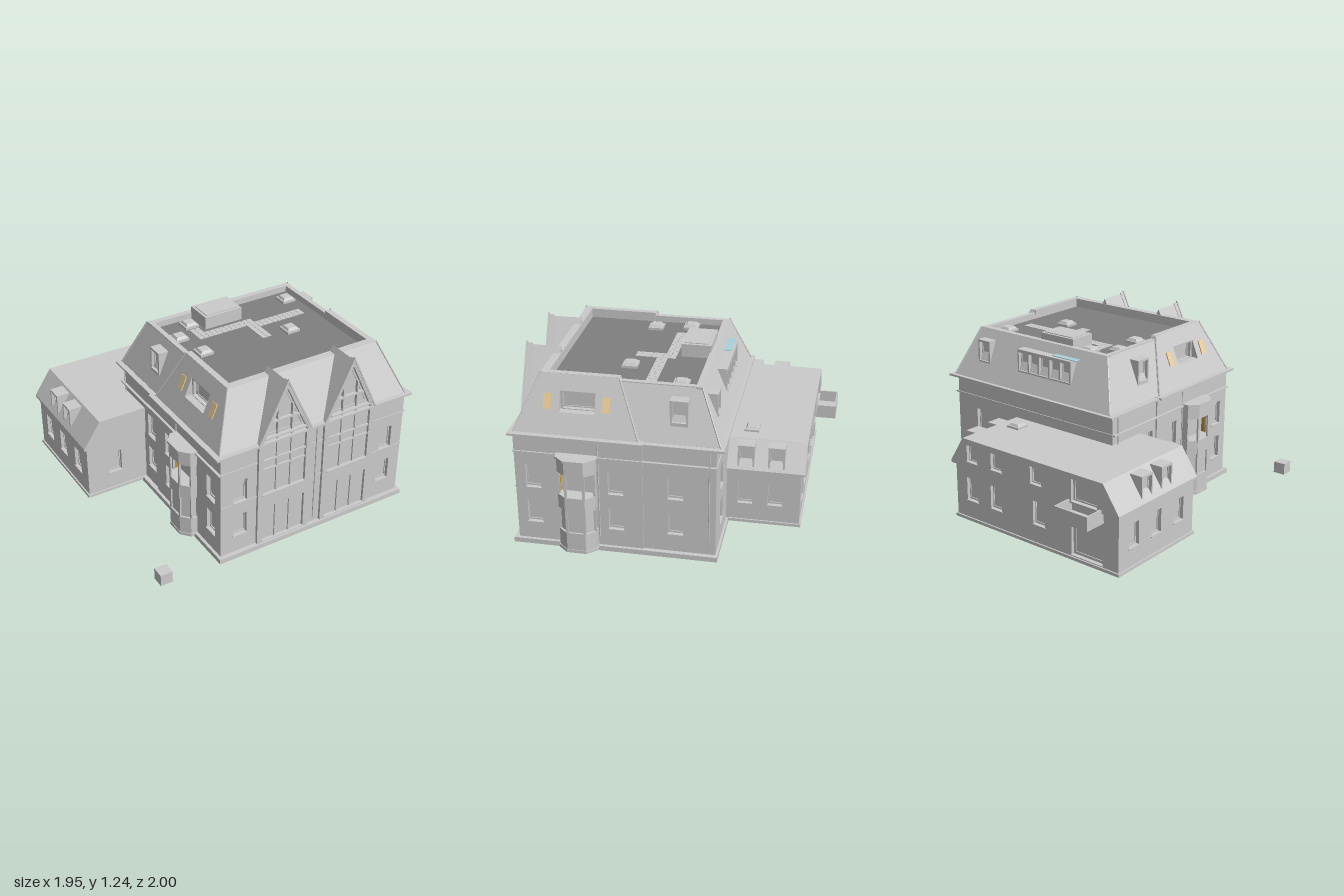
import * as THREE from 'three';

const mat = (color) => new THREE.MeshStandardMaterial({ color, flatShading: true, side: THREE.DoubleSide });
const GREY = mat(0xcccccc), DARK = mat(0x808080), AMBER = mat(0xeccf9a), GOLD = mat(0xc89628), BLUE = mat(0xa9d3de);
const CX = 0.185; // centre line of the main house

function add(parent, name, geo, m = GREY) {
  const mesh = new THREE.Mesh(geo, m);
  mesh.name = name;
  parent.add(mesh);
  return mesh;
}
// box given by its min and max on each axis
function box(parent, name, x0, x1, y0, y1, z0, z1, m) {
  const g = new THREE.BoxGeometry(x1 - x0, y1 - y0, z1 - z0);
  return add(parent, name, g.translate((x0 + x1) / 2, (y0 + y1) / 2, (z0 + z1) / 2), m);
}
// loose flat quads, four corners each
function quads(parent, name, list) {
  const pos = [];
  for (const [a, b, c, d] of list) pos.push(...a, ...b, ...c, ...a, ...c, ...d);
  const g = new THREE.BufferGeometry();
  g.setAttribute('position', new THREE.Float32BufferAttribute(pos, 3));
  g.computeVertexNormals();
  return add(parent, name, g);
}
const vec = (pts) => pts.map(([x, y]) => new THREE.Vector2(x, y));
const shapeOf = (pts) => new THREE.Shape(vec(pts));
const rect = (u0, u1, y0, y1) => [[u0, y0], [u1, y0], [u1, y1], [u0, y1]];
const extrude = (shape, depth) => new THREE.ExtrudeGeometry(shape, { depth, bevelEnabled: false });

// turn, sign of u against the local x axis, axis the wall faces along
const SIDES = { front: [0, 1, 'z'], right: [Math.PI / 2, -1, 'x'], back: [Math.PI, -1, 'z'], left: [-Math.PI / 2, 1, 'x'] };
// wall with window openings, panes, frames and sills; window = [u, y, width, height, top taper]
function facade(parent, name, side, plane, outline, wins, depth = 0.035) {
  const [turn, s, axis] = SIDES[side];
  const g = new THREE.Group();
  g.name = name;
  const shape = shapeOf(outline.map(([u, y]) => [u * s, y]));
  for (const [u, y, w, h, t = 1] of wins) {
    const c = u * s, a = w / 2;
    const pts = [[c - a, y], [c + a, y], [c + a * t, y + h], [c - a * t, y + h]];
    shape.holes.push(new THREE.Path(vec(pts)));
    add(g, 'windowPane', new THREE.ShapeGeometry(shapeOf(pts)).translate(0, 0, -0.028));
    const frame = shapeOf(pts), k = 0.86, cy = y + h * (t < 1 ? 0.38 : 0.5);
    frame.holes.push(new THREE.Path(vec(pts.map(([px, py]) => [c + (px - c) * k, cy + (py - cy) * k]))));
    add(g, 'windowFrame', extrude(frame, 0.006).translate(0, 0, -0.028));
    box(g, 'sill', c - a - 0.004, c + a + 0.004, y - 0.006, y, -0.01, 0.006);
  }
  add(g, 'wall', extrude(shape, depth).translate(0, 0, -depth));
  g.rotation.y = turn;
  g.position[axis] = plane;
  parent.add(g);
}

function mainWalls(p) {
  const rows = (us) => us.flatMap((u) => [[u, 0.2, 0.095, 0.155], [u, 0.45, 0.095, 0.16]]);
  facade(p, 'frontWall', 'front', 0.885, rect(-0.5, 0.87, 0.06, 0.83), rows([-0.36, 0.74]));
  for (const s of [1, -1]) {
    const side = s > 0 ? 'right' : 'left';
    facade(p, side + 'FrontWall', side, CX + s * 0.685, rect(0.08, 0.885, 0.06, 0.83), rows([0.77, 0.25]));
    facade(p, side + 'RearWall', side, CX + s * 0.675, rect(-0.37, 0.1, 0.06, 0.83), s > 0 ? rows([-0.12]) : rows([0.0]));
    const x = CX + s * 0.69;
    box(p, 'stringCourse', x - 0.012, x + 0.005, 0.692, 0.701, -0.375, 0.89);
    for (const z of [-0.33, 0.355])
      add(p, 'downpipe', new THREE.CylinderGeometry(0.004, 0.004, 0.7, 8).translate(x, 0.47, z));
  }
  facade(p, 'backWall', 'back', -0.37, rect(-0.49, 0.86, 0.06, 0.83), rows([0.64]));
  box(p, 'backStringCourse', -0.495, 0.865, 0.692, 0.701, -0.376, -0.36);
  for (const y of [0.44, 0.692]) box(p, 'frontStringCourse', -0.5, 0.87, y, y + 0.008, 0.87, 0.891);
  add(p, 'frontDownpipe', new THREE.CylinderGeometry(0.005, 0.005, 0.7, 8).translate(0.188, 0.47, 0.893));
  // eaves
  box(p, 'frontEaves', CX - 0.725, CX + 0.725, 0.818, 0.832, 0.07, 0.91);
  box(p, 'rearEaves', CX - 0.71, CX + 0.71, 0.815, 0.829, -0.42, 0.07);
}

function mansard(p) {
  const e = 0.69, r = 0.675, t = 0.545, list = [];
  const P = (s, x, y, z) => [CX + s * x, y, z];
  for (const s of [1, -1]) {
    const side = s > 0 ? 'right' : 'left';
    // front side slope, pierced for the loggia
    const slope = shapeOf([[0.88, 0.83], [0.1, 0.83], [0.24, 1.175], [0.73, 1.175]].map(([z, y]) => [-s * z, y]));
    slope.holes.push(new THREE.Path(vec(rect(-s * 0.38, -s * 0.6, 0.96, 1.08))));
    const geo = new THREE.ShapeGeometry(slope), v = geo.attributes.position;
    for (let i = 0; i < v.count; i++) v.setZ(i, s * CX + e - (e - t) * (v.getY(i) - 0.83) / 0.345);
    // the left slope is measured outward along -x
    geo.computeVertexNormals();
    add(p, side + 'MansardSlope', geo).rotation.y = SIDES[side][0];
    // recessed loggia
    facade(p, 'loggiaWall', side, CX + s * 0.582, rect(0.375, 0.605, 0.955, 1.085), [[0.49, 0.965, 0.19, 0.105]]);
    const cheek = (z) => [P(s, 0.55, 0.96, z), P(s, 0.635, 0.96, z), P(s, 0.585, 1.08, z), P(s, 0.55, 1.08, z)];
    const floor = [P(s, 0.55, 0.96, 0.38), P(s, 0.55, 0.96, 0.6), P(s, 0.635, 0.96, 0.6), P(s, 0.635, 0.96, 0.38)];
    quads(p, 'loggiaSurround', [cheek(0.38), cheek(0.6), floor]);

    list.push([P(s, r, 0.828, 0.3), P(s, r, 0.828, -0.395), P(s, t - 0.005, 1.155, -0.26), P(s, t - 0.005, 1.155, 0.3)]);
    list.push([P(s, e, 0.83, 0.1), P(s, e - 0.06, 0.83, 0.1), P(s, t - 0.04, 1.175, 0.24), P(s, t, 1.175, 0.24)]);
    // parapet sides
    const x0 = CX + s * t, x1 = CX + s * (t - 0.04), a = Math.min(x0, x1), b = Math.max(x0, x1);
    box(p, 'parapet', a, b, 1.09, 1.176, 0.24, 0.73);
    box(p, 'parapet', a + 0.003, b - 0.003, 1.09, 1.156, -0.26, 0.24);
    // raised hip lines
    const hips = [[P(s, e, 0.83, 0.88), P(s, t, 1.175, 0.73)], [P(s, r, 0.83, -0.395), P(s, t, 1.155, -0.26)], [P(s, e, 0.83, 0.1), P(s, t, 1.175, 0.24)]];
    for (const [A, B] of hips) {
      const path = new THREE.LineCurve3(new THREE.Vector3(...A), new THREE.Vector3(...B));
      add(p, 'hipRidge', new THREE.TubeGeometry(path, 1, 0.006, 6));
    }
    // dormers and roof windows
    const z = s > 0 ? -0.135 : -0.005;
    facade(p, 'smallDormer', side, CX + s * 0.634, rect(z - 0.055, z + 0.055, 0.93, 1.095), [[z, 0.955, 0.085, 0.125]], 0.13);
    for (const zc of [0.675, 0.31]) {
      const win = add(p, 'roofWindow', new THREE.BoxGeometry(0.012, 0.095, 0.048), AMBER);
      win.position.set(CX + s * 0.612, 1.018, zc);
      win.rotation.z = s * Math.atan2(e - t, 0.345);
    }
  }
  list.push([P(-1, e, 0.83, 0.88), P(1, e, 0.83, 0.88), P(1, t, 1.175, 0.73), P(-1, t, 1.175, 0.73)]);
  list.push([P(1, r, 0.828, -0.395), P(-1, r, 0.828, -0.395), P(-1, t, 1.155, -0.26), P(1, t, 1.155, -0.26)]);
  quads(p, 'mansardRoof', list);
  box(p, 'frontParapet', CX - t, CX + t, 1.09, 1.176, 0.68, 0.73);
  box(p, 'backParapet', CX - t, CX + t, 1.09, 1.156, -0.26, -0.22);
  box(p, 'flatRoof', CX - t + 0.03, CX + t - 0.03, 1.09, 1.115, -0.23, 0.69, DARK);

  const strip = [-0.085, 0.005, 0.095, 0.185, 0.272].map((x) => [x, 0.955, 0.075, 0.12]);
  facade(p, 'backWideDormer', 'back', -0.348, rect(-0.135, 0.32, 0.93, 1.095), strip, 0.1);
  box(p, 'glassCanopy', -0.16, 0.04, 1.097, 1.101, -0.328, -0.272, BLUE);
  facade(p, 'backSmallDormer', 'back', -0.348, rect(0.575, 0.68, 0.93, 1.095), [[0.6275, 0.955, 0.08, 0.125]], 0.1);
}

function rooflight(p, x, y, z) {
  box(p, 'rooflightKerb', x - 0.048, x + 0.048, y, y + 0.018, z - 0.048, z + 0.048);
  const dome = new THREE.CylinderGeometry(0.042, 0.055, 0.016, 4).rotateY(Math.PI / 4);
  add(p, 'rooflightDome', dome.translate(x, y + 0.026, z));
}

function roofTop(p) {
  box(p, 'roofAccessBox', -0.053, 0.22, 1.1, 1.2, -0.228, -0.04);
  box(p, 'roofAccessLid', -0.035, 0.2, 1.2, 1.205, -0.21, -0.058);
  for (const [x, z] of [[-0.12, -0.14], [-0.26, -0.02], [-0.215, 0.21], [0.62, -0.115], [0.41, 0.245]]) rooflight(p, x, 1.113, z);
  // paving runs: x, z, columns, rows
  for (const [x, z, n, m] of [[-0.15, -0.08, 2, 2], [-0.15, -0.01, 12, 2], [0.2, 0.04, 12, 2], [0.2, 0.11, 2, 4]])
    for (let i = 0; i < n; i++) for (let j = 0; j < m; j++) {
      const a = x + i * 0.035, b = z + j * 0.035;
      box(p, 'pavingSlab', a, a + 0.033, 1.11, 1.119, b, b + 0.033);
    }
}

// projecting front gable, almost fully glazed
function gable(p, x) {
  const g = new THREE.Group();
  g.name = 'frontGable';
  const wins = [[0, 0.09, 0.31, 0.26], [0, 0.45, 0.31, 0.4], [0, 0.865, 0.29, 0.3, 0.03]];
  facade(g, 'gableWall', 'front', 0.903, [[-0.19, 0.06], [0.19, 0.06], [0.19, 0.83], [0, 1.225], [-0.19, 0.83]], wins);
  // glazing bars and transoms
  for (const u of [-0.052, 0.052]) {
    box(g, 'doorPost', u - 0.005, u + 0.005, 0.09, 0.35, 0.873, 0.895);
    box(g, 'glazingBar', u - 0.006, u + 0.006, 0.45, 0.85, 0.873, 0.895);
    box(g, 'atticBar', u - 0.005, u + 0.005, 0.865, 1.05, 0.873, 0.895);
  }
  for (const y of [0.625, 0.69]) box(g, 'transom', -0.155, 0.155, y, y + 0.012, 0.873, 0.898);
  box(g, 'atticTransom', -0.098, 0.098, 0.955, 0.967, 0.873, 0.898);
  const slopes = shapeOf([[-0.2, 0.81], [0, 1.215], [0.2, 0.81], [0.18, 0.81], [0, 1.19], [-0.18, 0.81]]);
  add(g, 'gableRoof', extrude(slopes, 0.22).translate(0, 0, 0.685));
  const verge = shapeOf([[-0.2, 0.82], [0, 1.237], [0.2, 0.82], [0.19, 0.82], [0, 1.216], [-0.19, 0.82]]);
  add(g, 'gableVerge', extrude(verge, 0.012).translate(0, 0, 0.898));
  add(g, 'gableBack', extrude(shapeOf([[-0.06, 1.08], [0.06, 1.08], [0, 1.205]]), 0.02).translate(0, 0, 0.687));
  g.position.x = x;
  p.add(g);
}

// half-octagon side bay, open on the upper floor
function bay(p, s) {
  const g = new THREE.Group();
  g.name = s > 0 ? 'rightBay' : 'leftBay';
  const pts = [[0, 0.12], [0.045, 0.118], [0.095, 0.06], [0.095, -0.06], [0.045, -0.118], [0, -0.12]];
  const prism = (name, k, y0, y1) => add(g, name,
    extrude(shapeOf(pts.map(([x, z]) => [x * k * s, z * k])), y1 - y0).rotateX(-Math.PI / 2).translate(0, y0, 0));
  prism('bayBase', 1.04, 0.06, 0.08);
  prism('bayLowerBand', 1, 0.08, 0.2);
  prism('bayLowerGlass', 0.88, 0.2, 0.36);
  prism('bayMiddleBand', 1, 0.355, 0.45);
  prism('bayUpperBand', 1, 0.605, 0.695);
  prism('bayCap', 1.08, 0.695, 0.71);
  for (const [x, z] of pts.slice(1, 5))
    add(g, 'bayPost', new THREE.BoxGeometry(0.012, 0.42, 0.016).translate(s * (x - 0.007), 0.41, z * 0.94));
  // solid returns with a gold inner face
  for (const d of [1, -1]) {
    add(g, 'bayReturn', new THREE.BoxGeometry(0.045, 0.16, 0.006).translate(s * 0.0225, 0.525, d * 0.114));
    add(g, 'bayReturnLining', new THREE.BoxGeometry(0.036, 0.15, 0.003).translate(s * 0.02, 0.525, d * 0.109), GOLD);
  }
  g.position.set(CX + s * 0.685, 0, 0.485);
  p.add(g);
}

function annex(p) {
  const low = (us) => us.map((u) => [u, 0.2, 0.095, 0.155]);
  facade(p, 'annexRightWall', 'right', 0.41, rect(-0.845, -0.36, 0.06, 0.45), low([-0.49, -0.685]));
  facade(p, 'annexLeftWall', 'left', -0.92, rect(-0.845, -0.1, 0.06, 0.45), low([-0.25, -0.48, -0.7]));
  facade(p, 'annexFrontWall', 'front', -0.1, rect(-0.92, -0.49, 0.06, 0.45), low([-0.72]));
  facade(p, 'annexBackWall', 'back', -0.845, rect(-0.92, 0.41, 0.06, 0.45), [...low([0.27, 0.06, -0.3]), [-0.68, 0.09, 0.24, 0.25]]);
  const end = [[-0.94, 0.44], [0.43, 0.44], [0.43, 0.455], [0.32, 0.63], [-0.82, 0.63], [-0.94, 0.455]];
  add(p, 'annexRoof', extrude(shapeOf(end), 0.745).translate(0, 0, -0.835));
  const upper = [0.24, 0.03, -0.3].map((u) => [u, 0.48, 0.09, 0.11]);
  facade(p, 'annexUpperBackWall', 'back', -0.87, end, [...upper, [-0.68, 0.455, 0.2, 0.14]]);
  for (const z of [-0.49, -0.685])
    facade(p, 'annexRightDormer', 'right', 0.418, rect(z - 0.053, z + 0.053, 0.45, 0.62), [[z, 0.465, 0.085, 0.14]], 0.09);
  for (const z of [-0.385, -0.58])
    facade(p, 'annexLeftDormer', 'left', -0.922, rect(z - 0.053, z + 0.053, 0.45, 0.62), [[z, 0.465, 0.085, 0.14]], 0.09);
  rooflight(p, 0.19, 0.625, -0.5);
  // balcony
  box(p, 'balconyFloor', -0.81, -0.56, 0.37, 0.385, -1.0, -0.84);
  box(p, 'balconyFront', -0.81, -0.56, 0.38, 0.463, -1.0, -0.99);
  for (const x of [-0.81, -0.57]) box(p, 'balconySide', x, x + 0.01, 0.38, 0.463, -0.99, -0.85);
}

// rectangular rim open in the middle
function rim(p, name, x0, x1, y0, y1, z0, z1, w) {
  for (const x of [x0, x1 - w]) box(p, name, x, x + w, y0, y1, z0, z1);
  for (const z of [z0, z1 - w]) box(p, name, x0, x1, y0, y1, z, z + w);
}

function foundations(p) {
  // floors sit above the plinth rims
  box(p, 'houseFloor', -0.49, 0.86, 0.08, 0.09, -0.37, 0.88);
  box(p, 'annexFloor', -0.91, 0.4, 0.08, 0.09, -0.84, -0.105);
  rim(p, 'plinth', -0.52, 0.89, 0.045, 0.078, -0.385, 0.915, 0.06);
  box(p, 'annexPlinthLeft', -0.93, -0.88, 0.06, 0.08, -0.855, -0.09);
  box(p, 'annexPlinthRight', 0.37, 0.42, 0.06, 0.08, -0.855, -0.38);
  box(p, 'annexPlinthBack', -0.93, 0.42, 0.06, 0.08, -0.855, -0.805);
  box(p, 'annexPlinthFront', -0.93, -0.5, 0.06, 0.08, -0.14, -0.09);
  rim(p, 'cellarWall', -0.06, 0.32, 0, 0.085, -0.24, -0.025, 0.025);
  rim(p, 'cellarShaft', 0.08, 0.22, 0.015, 0.085, -0.2, -0.07, 0.015);
  box(p, 'cellarPassage', -0.06, 0.32, 0.05, 0.085, -0.025, 0.88);
}

export function createModel() {
  const model = new THREE.Group();
  model.name = 'house';
  mainWalls(model);
  mansard(model);
  roofTop(model);
  for (const x of [-0.053, 0.427]) gable(model, x);
  for (const s of [1, -1]) bay(model, s);
  annex(model);
  foundations(model);
  box(model, 'looseCube', -0.98, -0.9, 0.147, 0.225, 0.92, 1.0);
  return model;
}
